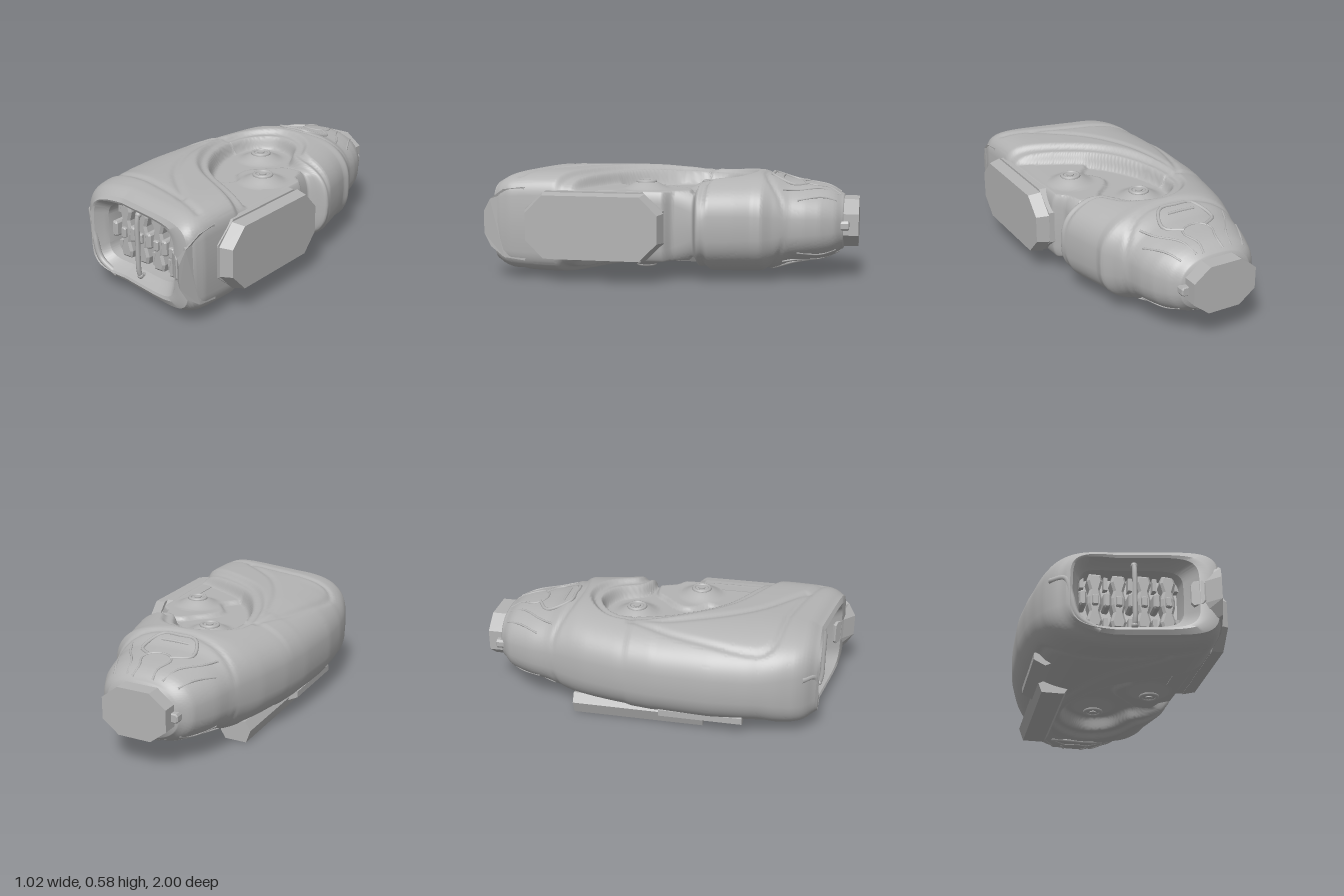
import * as THREE from 'three';
import { toCreasedNormals } from 'three/addons/utils/BufferGeometryUtils.js';

const MID = 0.3; // height of the mirror plane
const V2 = (p) => new THREE.Vector2(p[0], p[1]);
const sm = (a, b, v) => THREE.MathUtils.smoothstep(v, a, b);

// piecewise profile, slightly smoothed
function linear(t, z) {
  if (z <= t[0][0]) return t[0][1];
  for (let i = 1; i < t.length; i++) {
    if (z <= t[i][0]) {
      const k = (z - t[i - 1][0]) / (t[i][0] - t[i - 1][0]);
      return t[i - 1][1] + k * (t[i][1] - t[i - 1][1]);
    }
  }
  return t[t.length - 1][1];
}
const prof = (t, z, w = 0.012) => [-2, -1, 0, 1, 2].reduce((s, k) => s + linear(t, z + k * w) / 5, 0);

// plan edges, half height and cross-section roundness along z
const LEFT = [[-0.92, -0.21], [-0.88, -0.27], [-0.8, -0.305], [-0.72, -0.335], [-0.62, -0.355], [-0.4, -0.43], [-0.2, -0.475], [0, -0.5],
  [0.3, -0.512], [0.5, -0.495], [0.65, -0.465], [0.75, -0.43], [0.81, -0.38], [0.84, -0.33]];
const RIGHT = [[-0.92, 0.18], [-0.88, 0.23], [-0.8, 0.275], [-0.72, 0.3], [-0.64, 0.315], [-0.55, 0.36], [-0.5, 0.4], [-0.45, 0.395], [-0.36, 0.42],
  [-0.18, 0.465], [-0.165, 0.46], [-0.145, 0.36], [-0.03, 0.37], [0.01, 0.42], [0.5, 0.435], [0.75, 0.435], [0.81, 0.42], [0.84, 0.4]];
const HALF = [[-0.92, 0.14], [-0.86, 0.185], [-0.8, 0.2], [-0.62, 0.225], [-0.58, 0.245], [-0.48, 0.27], [-0.2, 0.272],
  [0.2, 0.283], [0.6, 0.28], [0.7, 0.275], [0.79, 0.262], [0.84, 0.225]];
const ROUND_R = [[-0.9, 2.4], [-0.2, 2.8], [0, 5.5], [0.84, 5.5]];
const ROUND_L = [[-0.9, 2.4], [-0.3, 2.6], [0.55, 2.6], [0.84, 3.6]];

// plan curves: side pocket, raised inner housing, surface creases
const spline = (pts, n) => new THREE.SplineCurve(pts.map(V2)).getPoints(n);
const POCKET = spline([[0.6, -0.15], [0.36, -0.15], [0.27, -0.16], [0.2, -0.2], [0.14, -0.31], [0.07, -0.36], [-0.02, -0.375],
  [-0.11, -0.33], [-0.17, -0.25], [-0.18, -0.12], [-0.14, 0.04], [-0.04, 0.22], [0.08, 0.335], [0.25, 0.42], [0.42, 0.475], [0.6, 0.49]], 60);
const HOUSING = spline([[0.6, -0.12], [0.36, -0.125], [0.22, -0.12], [0.16, -0.06], [0.08, 0.02], [0.06, 0.1], [0.12, 0.19],
  [0.11, 0.24], [0.06, 0.3], [0.12, 0.37], [0.4, 0.5], [0.6, 0.6]], 44);
const CREASES = [
  spline([[-0.26, -0.15], [-0.25, 0.05], [-0.17, 0.3], [-0.03, 0.52], [0.2, 0.68]], 16),
  spline([[-0.27, -0.17], [-0.36, 0.1], [-0.41, 0.45], [-0.37, 0.6], [-0.2, 0.645], [0.1, 0.68], [0.35, 0.72]], 20),
  spline([[-0.35, -0.58], [-0.2, -0.53], [0, -0.5], [0.2, -0.53], [0.33, -0.62]], 12),
];
const BOSSES = [[-0.005, -0.19], [0.245, 0.13]];

function lineDist(line, x, z, closed) {
  let best = 9;
  for (let i = closed ? 0 : 1; i < line.length; i++) {
    const a = line[(i + line.length - 1) % line.length], b = line[i];
    const dx = b.x - a.x, dz = b.y - a.y;
    const k = THREE.MathUtils.clamp(((x - a.x) * dx + (z - a.y) * dz) / (dx * dx + dz * dz), 0, 1);
    best = Math.min(best, Math.hypot(x - a.x - k * dx, z - a.y - k * dz));
  }
  return best;
}
function signedDist(poly, x, z) {
  let inside = false;
  for (let i = 0, j = poly.length - 1; i < poly.length; j = i++) {
    const a = poly[i], b = poly[j];
    if ((a.y > z) !== (b.y > z) && x < ((b.x - a.x) * (z - a.y)) / (b.y - a.y) + a.x) inside = !inside;
  }
  return lineDist(poly, x, z, true) * (inside ? -1 : 1);
}

const section = (s, b, nL, nR) => {
  const n = s < 0 ? nL : nR;
  return b * Math.pow(Math.max(0, 1 - Math.pow(Math.abs(s), n)), 1 / n);
};
// half height of the shell over a plan point
function height(x, z) {
  const L = prof(LEFT, z), R = prof(RIGHT, z, 0.005);
  let h = section((x - (L + R) / 2) / ((R - L) / 2), prof(HALF, z), prof(ROUND_L, z), prof(ROUND_R, z));
  for (const c of CREASES) h -= 0.01 * Math.exp(-Math.pow(lineDist(c, x, z) / 0.018, 2));
  const d = signedDist(POCKET, x, z);
  h -= 0.03 * (1 - sm(0.045, 0.08, d));
  let floor = 0.165 + 0.022 * (1 - sm(-0.012, 0.012, signedDist(HOUSING, x, z)));
  for (const [bx, bz] of BOSSES) floor += 0.04 * (1 - sm(0.03, 0.14, Math.hypot(x - bx, z - bz)));
  h = THREE.MathUtils.lerp(Math.min(h, floor), h, sm(-0.016, 0.016, d));
  return Math.max(h, 0);
}
// the front end slants forward towards the plate side
const slant = (x, z) => z + 0.2 * Math.max(0, x + 0.1) * sm(0.3, 0.84, z);

// skin over cross-sections { z, L, R, h(x, s) }, mirrored about MID
function loft(sections, N, crease) {
  const M = 2 * N, pos = [], idx = [];
  for (const { z, L, R, h } of sections) for (let j = 0; j < M; j++) {
    const top = j <= N, t = (top ? j : M - j) / N;
    const s = THREE.MathUtils.lerp(-Math.cos(Math.PI * t), 2 * t - 1, 0.35);
    const x = (L + R) / 2 + ((R - L) / 2) * s;
    const y = t === 0 || t === 1 ? 0 : h(x, s);
    pos.push(x, MID + (top ? y : -y), slant(x, z));
  }
  for (let i = 0; i < sections.length - 1; i++) for (let j = 0; j < M; j++) {
    const a = i * M + j, b = i * M + ((j + 1) % M);
    idx.push(a, a + M, b, b, a + M, b + M);
  }
  const g = new THREE.BufferGeometry();
  g.setAttribute('position', new THREE.Float32BufferAttribute(pos, 3));
  g.setIndex(idx);
  return toCreasedNormals(g, crease);
}

function shellGeometry() {
  const ROWS = 260, sections = [{ z: -0.92, L: -0.03, R: -0.02, h: () => 0.002 }];
  for (let i = 0; i <= ROWS; i++) {
    const z = -0.92 + (1.76 * i) / ROWS;
    sections.push({ z, L: prof(LEFT, z), R: prof(RIGHT, z, 0.005), h: (x) => height(x, z) });
  }
  return loft(sections, 100, 1.45);
}

// mouth: rim, lip, funnel, cavity and back wall
function mouthGeometry() {
  const rim = { z: 0.84, L: prof(LEFT, 0.84), R: prof(RIGHT, 0.84, 0.005), h: (x) => height(x, 0.84) };
  const rings = [[0.853, -0.325, 0.36, 0.208, 4.5], [0.847, -0.31, 0.31, 0.195, 5], [0.8, -0.285, 0.27, 0.175, 5],
    [0.78, -0.27, 0.25, 0.158, 5], [0.68, -0.265, 0.245, 0.155, 5], [0.68, -0.01, 0.01, 0.003, 5]];
  return loft([rim, ...rings.map(([z, L, R, b, n]) => ({ z, L, R, h: (x, s) => section(s, b, n, n) }))], 100, 0.6);
}

export function createModel() {
  const group = new THREE.Group();
  const grey = new THREE.MeshStandardMaterial({ color: 0xb3b3b3 });
  grey.name = 'grey';
  const add = (name, geo, x = 0, y = 0, z = 0) => {
    const m = new THREE.Mesh(geo, grey);
    m.name = name;
    m.position.set(x, y, z);
    group.add(m);
    return m;
  };
  const extrude = (pts, depth, bevel = 0) => new THREE.ExtrudeGeometry(new THREE.Shape(pts.map(V2)), {
    depth, bevelEnabled: bevel > 0, bevelSize: bevel, bevelThickness: bevel, bevelOffset: -bevel, bevelSegments: 1 });
  const tube = (pts, r, n = 32) => new THREE.TubeGeometry(new THREE.CatmullRomCurve3(pts), n, r, 8);
  const octagon = (x0, x1, y0, y1, cx, cy) => [[x0 + cx, y0], [x1 - cx, y0], [x1, y0 + cy], [x1, y1 - cy],
    [x1 - cx, y1], [x0 + cx, y1], [x0, y1 - cy], [x0, y0 + cy]];

  add('shell', shellGeometry());
  add('mouth', mouthGeometry());

  // rear stub
  add('rearStub', extrude(octagon(-0.2, 0.16, 0.175, 0.43, 0.09, 0.07), 0.16), 0, 0, -1);
  for (const x of [-0.21, 0.172]) add('rearClip', extrude(octagon(-0.025, 0.025, 0.275, 0.325, 0.008, 0.012), 0.1, 0.006), x, 0, -0.945);

  // raised seams that follow the shell, on both faces
  for (const side of [1, -1]) {
    const seam = (name, pts, r = 0.006) => add(name, tube(pts.map(([x, z]) =>
      new THREE.Vector3(x, MID + side * height(x, z), z)), r, 24));
    seam('emblemFrame', [[-0.07, -0.73], [-0.16, -0.66], [-0.11, -0.54], [-0.02, -0.535], [0.08, -0.54], [0.13, -0.66], [0.05, -0.73]], 0.01);
    seam('emblemBar', [[-0.1, -0.585], [-0.02, -0.585], [0.06, -0.585]], 0.008);
    seam('strapEdge', [[-0.07, -0.9], [-0.065, -0.84], [-0.09, -0.76], [-0.07, -0.72], [-0.02, -0.7], [0.05, -0.72], [0.07, -0.76], [0.04, -0.84], [0.045, -0.9]]);
    for (const m of [1, -1]) {
      seam('bootFold', [[-0.02 + m * 0.1, -0.89], [-0.02 + m * 0.13, -0.8], [-0.02 + m * 0.21, -0.68], [-0.02 + m * 0.25, -0.6]]);
      seam('bootFold', [[-0.02 + m * 0.18, -0.88], [-0.02 + m * 0.22, -0.8], [-0.02 + m * 0.28, -0.68]]);
    }
    // round bosses in the pocket
    for (const [x, z] of BOSSES) {
      const y = MID + side * (height(x, z) - 0.004);
      add('bossRing', new THREE.TorusGeometry(0.045, 0.011, 8, 32).rotateX(Math.PI / 2), x, y, z);
      add('bossPin', new THREE.CylinderGeometry(0.02, 0.02, 0.02, 20), x, y, z);
    }
  }

  // side collar and tapered cover plate, extruded along x
  const alongX = (pts, depth, taper = 1) => {
    const g = extrude(pts, depth), p = g.attributes.position;
    for (let i = 0; i < p.count; i++) {
      if (p.getZ(i) > depth / 2) p.setXY(i, p.getX(i) * taper, p.getY(i) * taper);
    }
    g.computeVertexNormals();
    return g.rotateY(Math.PI / 2);
  };
  add('collar', alongX(octagon(-0.385, 0.385, -0.19, 0.19, 0.12, 0.1), 0.12, 0.97), 0.32, MID, 0.38);
  add('coverNeck', alongX(octagon(-0.36, 0.36, -0.165, 0.165, 0.1, 0.09), 0.06), 0.41, MID, 0.375);
  add('coverPlate', alongX(octagon(-0.378, 0.378, -0.178, 0.178, 0.1, 0.1), 0.067, 0.94), 0.445, MID, 0.375);

  // pointed front corner post
  const post = alongX([[-0.76, 0.1], [-0.88, 0.115], [-0.96, 0.17], [-1, 0.24], [-1, 0.36], [-0.96, 0.43], [-0.88, 0.485], [-0.76, 0.5]], 0.13);
  const pp = post.attributes.position;
  for (let i = 0; i < pp.count; i++) {
    if (pp.getX(i) < 0.06 && pp.getZ(i) > 0.8) pp.setZ(i, 0.8 + (pp.getZ(i) - 0.8) * 0.5);
    else if (pp.getX(i) > 0.06 && pp.getZ(i) > 0.9) pp.setX(i, 0.13 - (pp.getZ(i) - 0.9) * 0.25);
  }
  post.computeVertexNormals();
  add('cornerPost', post, 0.295, 0, 0);
  const insert = add('postInsert', extrude(octagon(-0.04, 0.04, -0.07, 0.07, 0.015, 0.02), 0.02, 0.006), 0.315, MID, 0.9);
  insert.rotation.y = -0.6;

  // waisted ribs with clasps inside the mouth
  const half = [[0.03, -0.15], [0.04, -0.11], [0.026, -0.06], [0.036, -0.02], [0.036, 0.02], [0.026, 0.06], [0.04, 0.11], [0.03, 0.15]];
  const rib = [...half, ...half.map(([x, y]) => [-x, y]).reverse()];
  for (const x of [-0.18, -0.06, 0.065, 0.185]) {
    const z = slant(x, 0.68);
    add('rib', extrude(rib, 0.06, 0.012), x, MID, z);
    add('ribClasp', extrude(octagon(-0.016, 0.016, -0.028, 0.028, 0.006, 0.006), 0.03, 0.005), x, 0.295, z + 0.055);
  }
  for (const x of [-0.243, -0.12, 0.003, 0.125, 0.235]) {
    const z = slant(x, 0.68);
    for (const y of [0.185, 0.415]) add('ribSpacer', new THREE.BoxGeometry(0.022, 0.07, 0.08), x, y, z);
    if (x < 0.2) add('linkClasp', extrude(octagon(-0.018, 0.018, -0.042, 0.042, 0.008, 0.01), 0.08, 0.008), x, 0.3, z);
  }

  // upright bar across the mouth, bent in at both ends
  add('mouthBar', tube([[0.475, 0.81], [0.468, 0.84], [0.44, 0.85], [0.3, 0.852], [0.16, 0.85], [0.132, 0.84], [0.125, 0.81]]
    .map(([y, z]) => new THREE.Vector3(0, y, z)), 0.013));
  for (const y of [0.465, 0.13]) add('barEnd', new THREE.SphereGeometry(0.017, 16, 12), 0, y, 0.84);

  // folded lip on the front right cheek
  add('cheekFold', tube([[-0.41, 0.37, 0.765], [-0.34, 0.36, 0.825], [-0.315, 0.26, 0.838], [-0.28, 0.15, 0.838], [-0.17, 0.085, 0.835]]
    .map((p) => new THREE.Vector3(...p)), 0.016));

  // underside fin and the strip beside it
  add('fin', extrude([[-0.39, 0.07], [-0.365, 0], [-0.245, 0], [-0.22, 0.04], [-0.22, 0.09], [-0.36, 0.12]], 0.72), 0, 0, -0.47);
  add('finStrip', extrude([[-0.44, 0.08], [-0.38, 0.05], [-0.34, 0.07], [-0.38, 0.14], [-0.44, 0.115]], 0.45), 0, 0, 0.02);

  return group;
}
